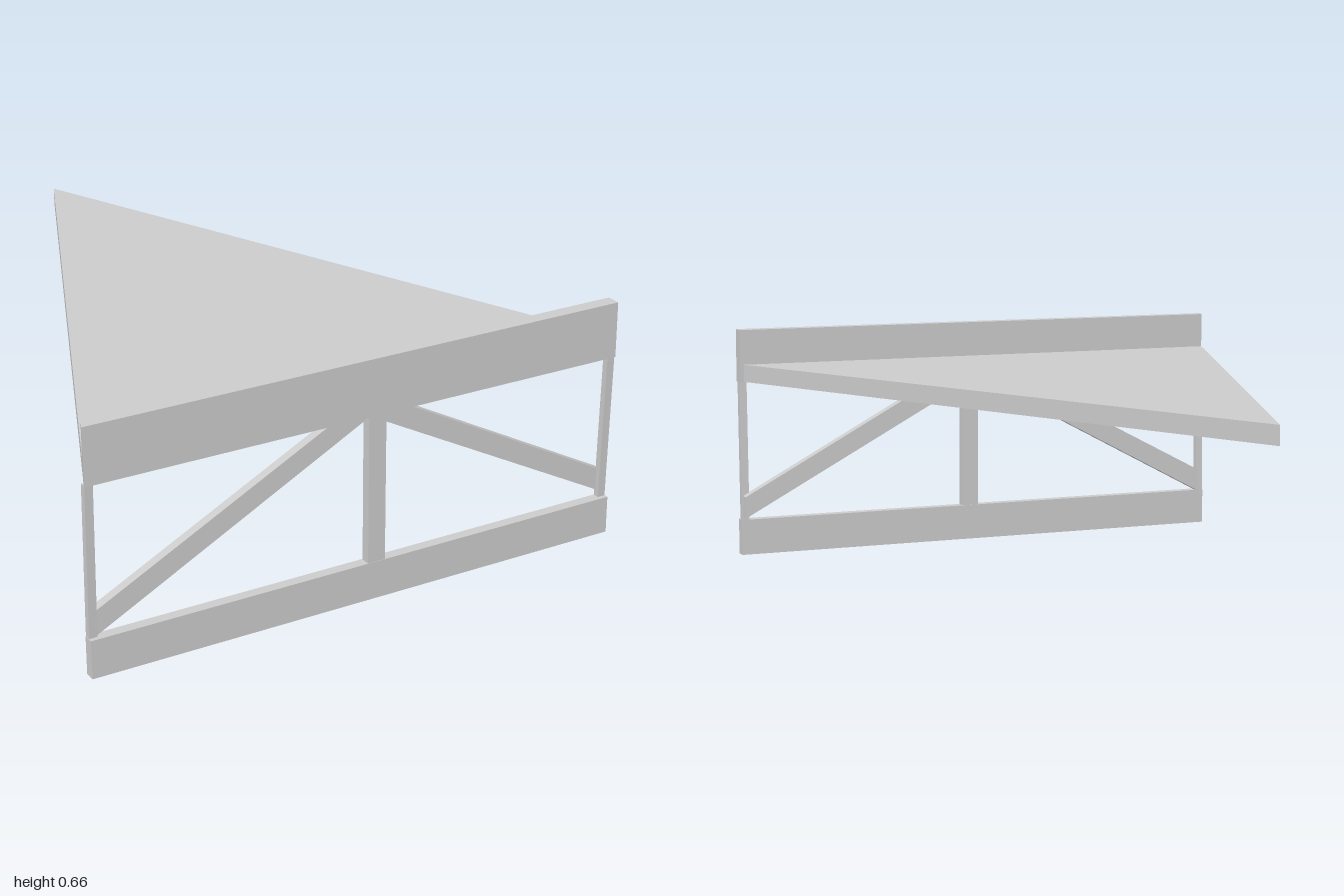
import * as THREE from 'three';

const material = new THREE.MeshStandardMaterial({ color: 0xcccccc, flatShading: true });

// Straight extrusion of a polygon along +z
function prism(points, depth) {
  const shape = new THREE.Shape(points.map(([a, b]) => new THREE.Vector2(a, b)));
  return new THREE.ExtrudeGeometry(shape, { depth, bevelEnabled: false });
}

// Horizontal slab from a plan outline of [x, z] points, between heights y0 and y1
function slab(name, plan, y0, y1) {
  const geometry = prism(plan.map(([x, z]) => [x, -z]), y1 - y0);
  geometry.rotateX(-Math.PI / 2).translate(0, y0, 0);
  const mesh = new THREE.Mesh(geometry, material);
  mesh.name = name;
  return mesh;
}

// Upright member from an elevation outline, set back from the front plane;
// lean moves its foot further back
function member(name, outline, setback, thickness, lean = 0) {
  const geometry = prism(outline, thickness).translate(0, 0, -setback - thickness);
  const p = geometry.attributes.position;
  for (let i = 0; i < p.count; i++) {
    p.setZ(i, p.getZ(i) - lean * (0.51 - p.getY(i)) / 0.41);
  }
  geometry.computeVertexNormals();
  const mesh = new THREE.Mesh(geometry, material);
  mesh.name = name;
  return mesh;
}

const rect = (x0, x1, y0, y1) => [[x0, y0], [x1, y0], [x1, y1], [x0, y1]];

export function createModel() {
  const model = new THREE.Group();
  model.name = 'trussedTriangularDeck';

  // Triangular deck and the deep beam along its slanted front edge
  model.add(slab('deck', [[-0.7, -1], [-0.7, 0.97], [0.695, 0.39]], 0.512, 0.562));
  model.add(slab('upperBeam', [[-0.7, 0.995], [0.707, 0.41], [0.692, 0.373], [-0.7, 0.952]], 0.51, 0.663));

  // Truss below the beam, turned to follow the front edge
  const truss = new THREE.Group();
  truss.name = 'truss';
  truss.position.set(0.003, 0, 0.702);
  truss.rotation.y = 0.394;
  model.add(truss);

  truss.add(member('lowerBeam', rect(-0.761, 0.761, 0, 0.104), 0, 0.03));

  // Slim end posts
  for (const side of [-1, 1]) {
    const x = side * 0.749;
    truss.add(member(side < 0 ? 'rightEndPost' : 'leftEndPost',
      rect(x - 0.011, x + 0.011, 0.1, 0.512), 0.001, 0.018, 0.011));
  }

  // Central post
  truss.add(member('centrePost', rect(0.011, 0.061, 0.1, 0.512), 0.001, 0.027));

  // Diagonal braces rising to the middle
  truss.add(member('rightBrace',
    [[-0.735, 0.105], [0.02, 0.5], [0.02, 0.514], [-0.072, 0.514], [-0.735, 0.172]], 0.018, 0.026));
  truss.add(member('leftBrace',
    [[0.756, 0.112], [0.756, 0.175], [0.123, 0.514], [0.074, 0.514], [0.074, 0.475]], 0.025, 0.03));

  return model;
}
